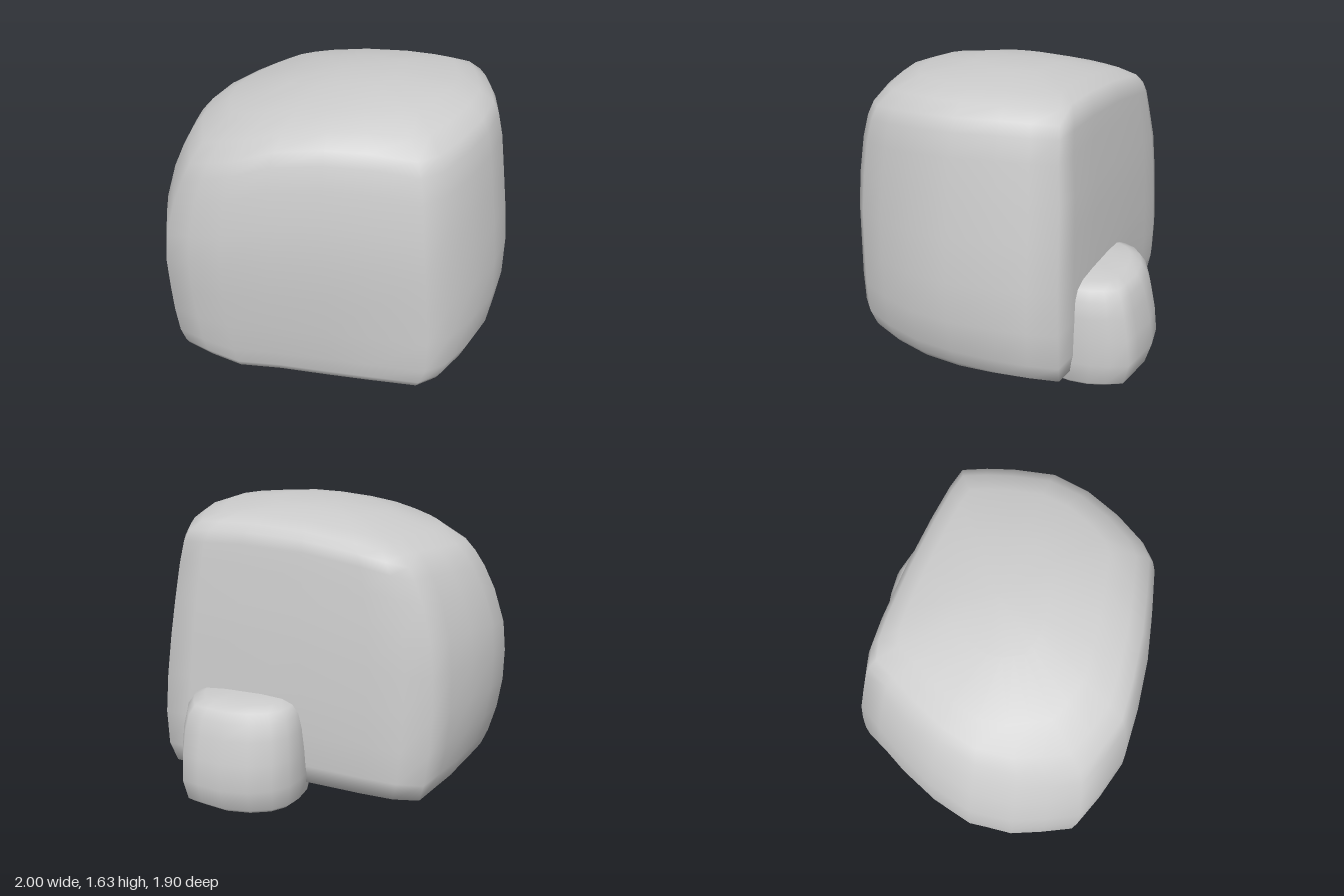
import * as THREE from 'three';

// Lofts a rounded stone: a plan outline (x, z pairs) is fitted to each ring's
// extents [height, left, right, back, front], then each point follows a shaping rule.
function loftStone(outline, rings, shape) {
  const xs = outline.map(p => p[0]), zs = outline.map(p => p[1]);
  const minX = -Math.min(...xs), maxX = Math.max(...xs);
  const minZ = -Math.min(...zs), maxZ = Math.max(...zs);
  const n = outline.length, pos = [], index = [];
  const add = (x, t, z) => pos.push(...shape(x, t, z));

  for (const [t, left, right, back, front] of rings) {
    for (const [x, z] of outline) {
      add(x < 0 ? x / minX * left : x / maxX * right, t, z < 0 ? z / minZ * back : z / maxZ * front);
    }
  }
  // Side faces
  for (let r = 0; r < rings.length - 1; r++) {
    for (let i = 0; i < n; i++) {
      const j = (i + 1) % n;
      const a = r * n + i, b = r * n + j, c = b + n, d = a + n;
      index.push(a, d, b, b, d, c);
    }
  }
  // Underside and crown centres
  const low = pos.length / 3, high = low + 1, last = (rings.length - 1) * n;
  add(0, rings[0][0], 0);
  add(0, rings[rings.length - 1][0], 0);
  for (let i = 0; i < n; i++) {
    const j = (i + 1) % n;
    index.push(low, i, j, high, last + j, last + i);
  }
  const geometry = new THREE.BufferGeometry();
  geometry.setAttribute('position', new THREE.Float32BufferAttribute(pos, 3));
  geometry.setIndex(index);
  geometry.computeVertexNormals();
  return geometry;
}

// Corners flare near the ground, back corners taper upwards, crown falls away from its peak
function shapeLarge(x, t, z) {
  const corner = Math.min(1, Math.min(Math.abs(x), Math.abs(z)) / 0.75);
  const flare = 1 + 0.14 * Math.max(0, 0.6 - t) * corner;
  const taper = z < 0 ? 1 - 0.07 * Math.max(0, t - 0.6) * corner : 1;
  const px = x * flare * taper, pz = z * flare;
  const frontRight = Math.max(0, (pz - px) * 0.707 - 0.5);
  const frontLeft = Math.max(0, (pz + px) * 0.707 - 0.5);
  const drop = 0.17 * (px - 0.35) ** 2 + (pz < 0.1 ? 0.12 : 0.17) * (pz - 0.1) ** 2
    + 0.5 * frontRight ** 2 + 0.45 * frontLeft ** 2;
  return [px, t * (1 - drop / 1.635), pz];
}

export function createModel() {
  const group = new THREE.Group();
  group.name = 'boulders';
  const stone = new THREE.MeshStandardMaterial({ color: 0xcccccc });
  stone.name = 'grey stone';

  // Large boulder: flat back, bulging sides, crown sloping down to one side
  const largeOutline = [
    [-0.73, -0.59], [-0.58, -0.63], [-0.38, -0.64], [0, -0.64], [0.4, -0.63], [0.68, -0.62],
    [0.84, -0.6], [0.9, -0.45], [0.95, -0.28], [1, -0.02], [0.98, 0.22], [0.91, 0.45],
    [0.82, 0.64], [0.72, 0.74], [0.45, 0.81], [0.2, 0.87], [-0.1, 0.92], [-0.36, 0.95],
    [-0.58, 0.9], [-0.76, 0.84], [-0.86, 0.67], [-0.95, 0.5], [-1, 0.25], [-0.96, 0],
    [-0.88, -0.25], [-0.8, -0.43],
  ];
  const largeRings = [
    [0, 0.3, 0.35, 0.1, 0.35], [0.008, 0.64, 0.7, 0.16, 0.7], [0.035, 0.76, 0.8, 0.25, 0.8],
    [0.07, 0.86, 0.89, 0.46, 0.86], [0.11, 0.88, 0.915, 0.6, 0.875], [0.23, 0.92, 0.97, 0.62, 0.9],
    [0.45, 0.97, 1, 0.63, 0.925], [0.7, 1, 1, 0.625, 0.945], [0.95, 1, 0.975, 0.61, 0.95],
    [1.17, 0.98, 0.945, 0.595, 0.935], [1.38, 0.915, 0.915, 0.57, 0.9], [1.5, 0.85, 0.885, 0.56, 0.865],
    [1.56, 0.8, 0.85, 0.545, 0.83], [1.6, 0.74, 0.77, 0.51, 0.74], [1.625, 0.6, 0.65, 0.42, 0.57],
    [1.635, 0.3, 0.35, 0.2, 0.28],
  ];
  const large = new THREE.Mesh(loftStone(largeOutline, largeRings, shapeLarge), stone);
  large.name = 'largeBoulder';

  // Small boulder leaning against the back
  const smallOutline = [
    [-0.37, 0], [-0.36, -0.12], [-0.33, -0.21], [-0.26, -0.29], [-0.14, -0.35], [0.01, -0.375],
    [0.16, -0.35], [0.26, -0.33], [0.31, -0.24], [0.35, -0.14], [0.37, -0.02], [0.36, 0.22],
    [0.29, 0.34], [0.1, 0.35], [-0.15, 0.33], [-0.32, 0.2],
  ];
  const smallRings = [
    [0, 0.2, 0.2, 0.18, 0.2], [0.005, 0.32, 0.32, 0.3, 0.37], [0.04, 0.355, 0.355, 0.34, 0.38],
    [0.17, 0.37, 0.37, 0.375, 0.35], [0.32, 0.365, 0.365, 0.355, 0.3], [0.45, 0.355, 0.355, 0.325, 0.25],
    [0.54, 0.335, 0.335, 0.295, 0.22], [0.59, 0.3, 0.3, 0.26, 0.2], [0.615, 0.24, 0.24, 0.2, 0.15],
    [0.625, 0.12, 0.12, 0.1, 0.08],
  ];
  const small = new THREE.Mesh(loftStone(smallOutline, smallRings, (x, t, z) => [x, t, z]), stone);
  small.name = 'smallBoulder';
  small.position.set(0.34, 0, -0.575);

  group.add(large, small);
  return group;
}
